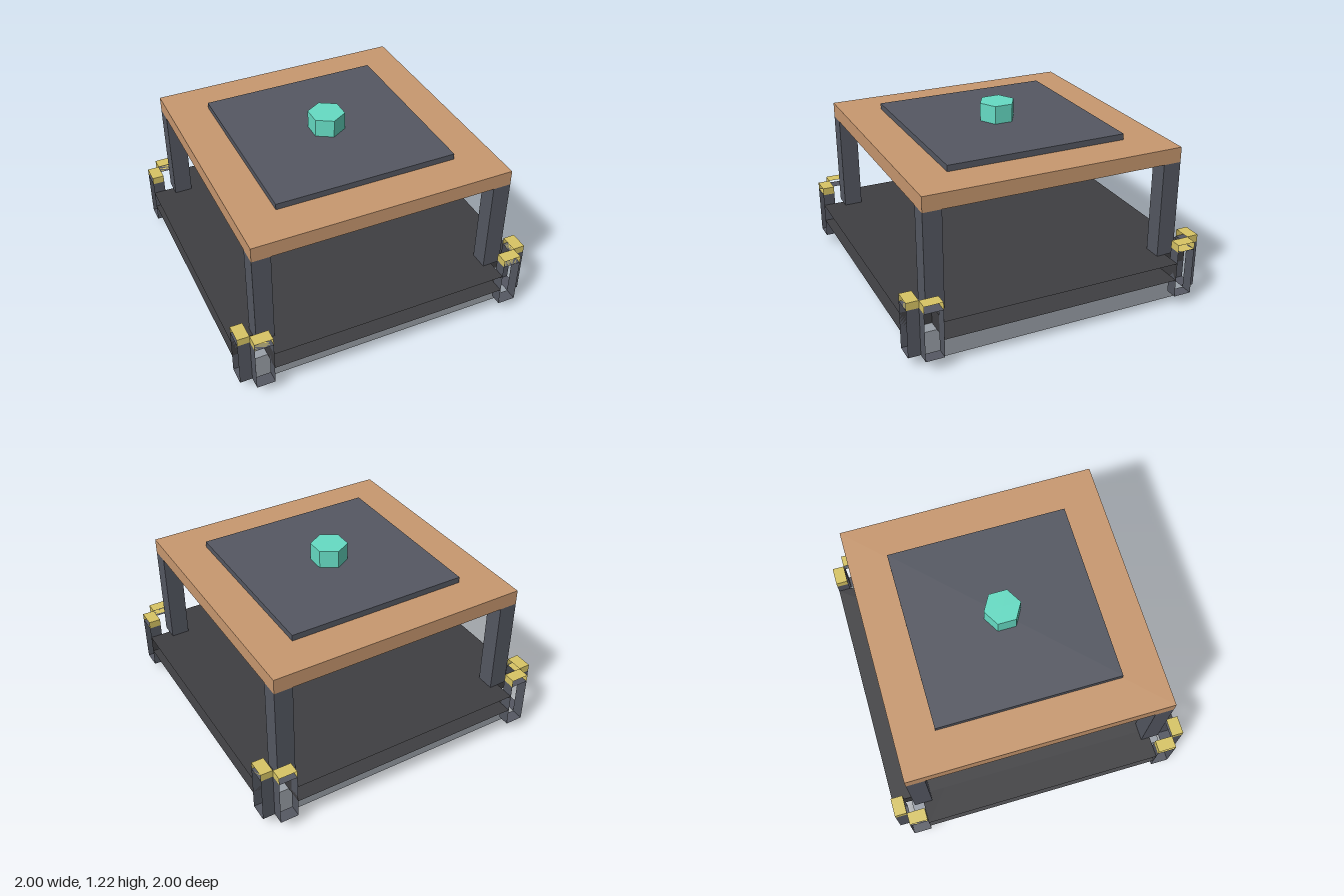
import * as THREE from 'three';

const material = (color, side = THREE.FrontSide) =>
  new THREE.MeshStandardMaterial({ color, side, flatShading: true });

export function createModel() {
  const model = new THREE.Group();
  const stone = material(0x9aa0a8);
  const slate = material(0x555862);
  const wood = material(0xc8986f);
  const teal = material(0x66dcc4);
  const openDark = material(0x3f3f42, THREE.DoubleSide);
  const openSlate = material(0x555862, THREE.DoubleSide);
  const openYellow = material(0xd8c565, THREE.DoubleSide);

  // Box given by centre x/z, sizes and bottom/top heights;
  // an open box is a sleeve without its two z faces.
  function box(parent, name, mat, x, z, w, d, y0, y1, open = false) {
    const geometry = new THREE.BoxGeometry(w, y1 - y0, d);
    if (open) {
      geometry.setIndex(Array.from(geometry.index.array.slice(0, 24)));
      geometry.clearGroups();
    }
    const mesh = new THREE.Mesh(geometry, mat);
    mesh.name = name;
    mesh.position.set(x, (y0 + y1) / 2, z);
    parent.add(mesh);
    return mesh;
  }

  // Foundation, roof and raised roof panel
  box(model, 'base', stone, 0, 0, 1.76, 1.76, 0, 0.199);
  box(model, 'roofSlab', wood, 0, 0, 1.72, 1.72, 0.96, 1.06);
  box(model, 'roofPanel', slate, 0, 0, 1.2, 1.2, 1.06, 1.1);

  // Corner columns
  for (const sx of [-1, 1]) {
    for (const sz of [-1, 1]) {
      box(model, 'column', slate, sx * 0.8, sz * 0.8, 0.12, 0.12, 0.32, 0.96);
    }
  }

  // Two crossed open deck sleeves, each with capped open posts at its ends
  for (let i = 0; i < 2; i++) {
    const frame = new THREE.Group();
    frame.name = i === 0 ? 'lengthwiseDeck' : 'crosswiseDeck';
    box(frame, 'deck', openDark, 0, 0, 1.6, 2, 0.2, 0.32, true);
    for (const sx of [-1, 1]) {
      for (const sz of [-1, 1]) {
        box(frame, 'endPost', openSlate, sx * 0.86, sz * 0.96, 0.12, 0.08, 0.08, 0.4, true);
        box(frame, 'postCap', openYellow, sx * 0.86, sz * 0.96, 0.12, 0.08, 0.4, 0.45, true);
      }
    }
    frame.rotation.y = (i * Math.PI) / 2;
    model.add(frame);
  }

  // Six-sided knob on top
  const knob = new THREE.Mesh(new THREE.CylinderGeometry(0.12, 0.12, 0.12, 6), teal);
  knob.name = 'knob';
  knob.position.y = 1.16;
  model.add(knob);

  return model;
}
